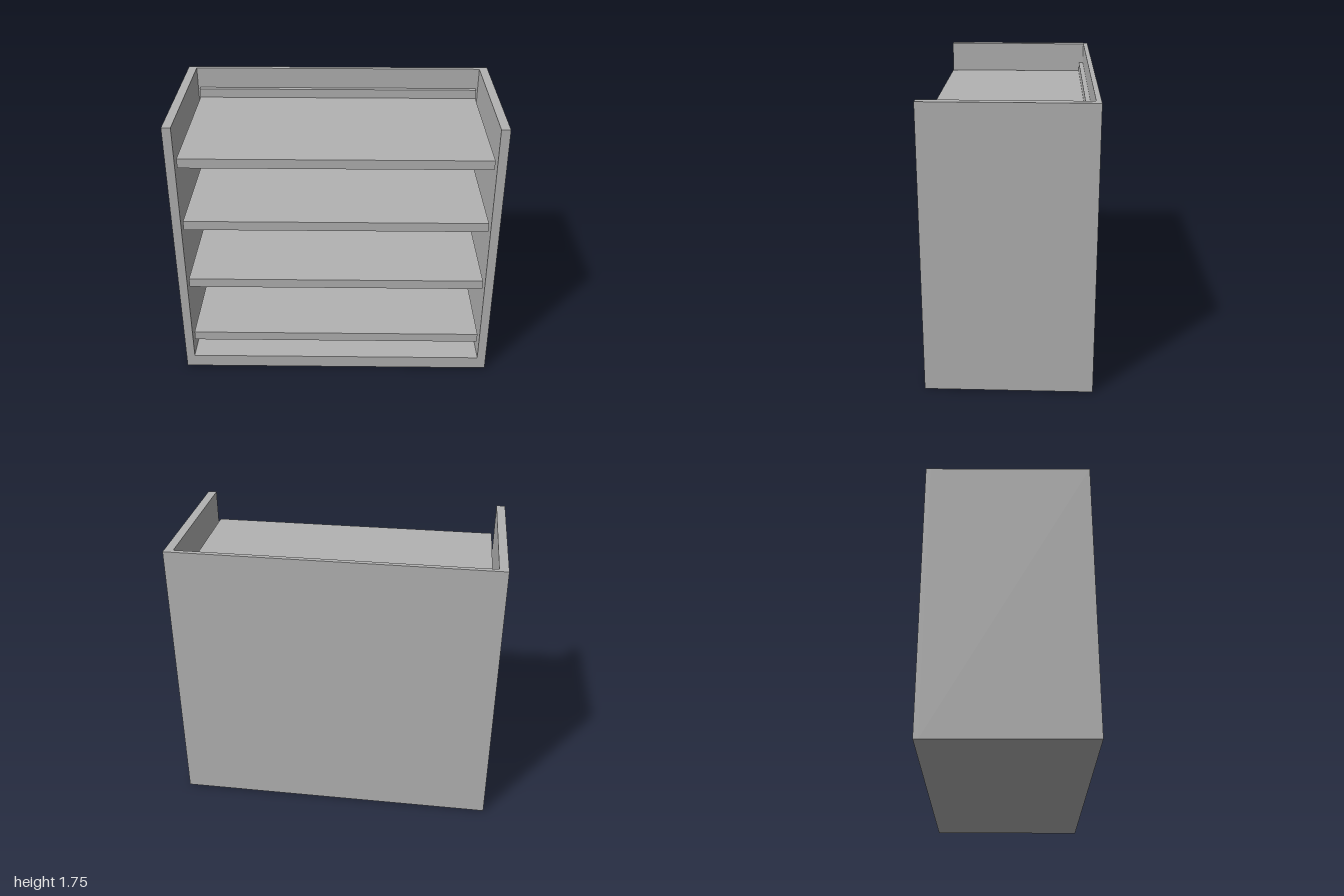
import * as THREE from 'three';

export function createModel() {
  const model = new THREE.Group();
  model.name = 'openCabinet';
  const grey = new THREE.MeshStandardMaterial({ color: 0xb2b2b2 });
  grey.name = 'grey';

  const W = 1, H = 1.75, D = 0.5;        // half width, height, half depth
  const inner = 0.945, base = 0.085;     // inside half width, floor height
  const back = -0.47;                    // inner face of the back panel

  // Extrudes a closed outline given as [a, b] points
  const extrude = (points, depth) => new THREE.ExtrudeGeometry(
    new THREE.Shape(points.map(([a, b]) => new THREE.Vector2(a, b))),
    { depth, bevelEnabled: false });

  const add = (name, geometry) => {
    const mesh = new THREE.Mesh(geometry, grey);
    mesh.name = name;
    model.add(mesh);
    return mesh;
  };

  // Side walls and floor as one U-shaped carcass
  add('carcass', extrude([
    [-W, 0], [W, 0], [W, H], [inner, H], [inner, base],
    [-inner, base], [-inner, H], [-W, H],
  ], D - back)).position.z = back;

  // Full back panel, open top
  add('backPanel', new THREE.BoxGeometry(2 * W, H, back + D))
    .position.set(0, H / 2, (back - D) / 2);

  // Shelves with a raised lip along the rear edge, slightly clear of the walls
  const halfShelf = 0.93, thick = 0.06, lipFront = -0.44;
  const profile = [
    [-D, 0], [-back, 0], [-back, 2 * thick], [-lipFront, 2 * thick],
    [-lipFront, thick], [-D, thick],
  ];
  const shelf = extrude(profile, 2 * halfShelf);
  shelf.rotateY(Math.PI / 2);            // profile x becomes -z, depth becomes x
  shelf.translate(-halfShelf, 0, 0);
  for (let i = 0; i < 4; i++) {
    add('shelf' + (i + 1), shelf).position.y = 0.222 + i * 0.4235;
  }

  return model;
}
